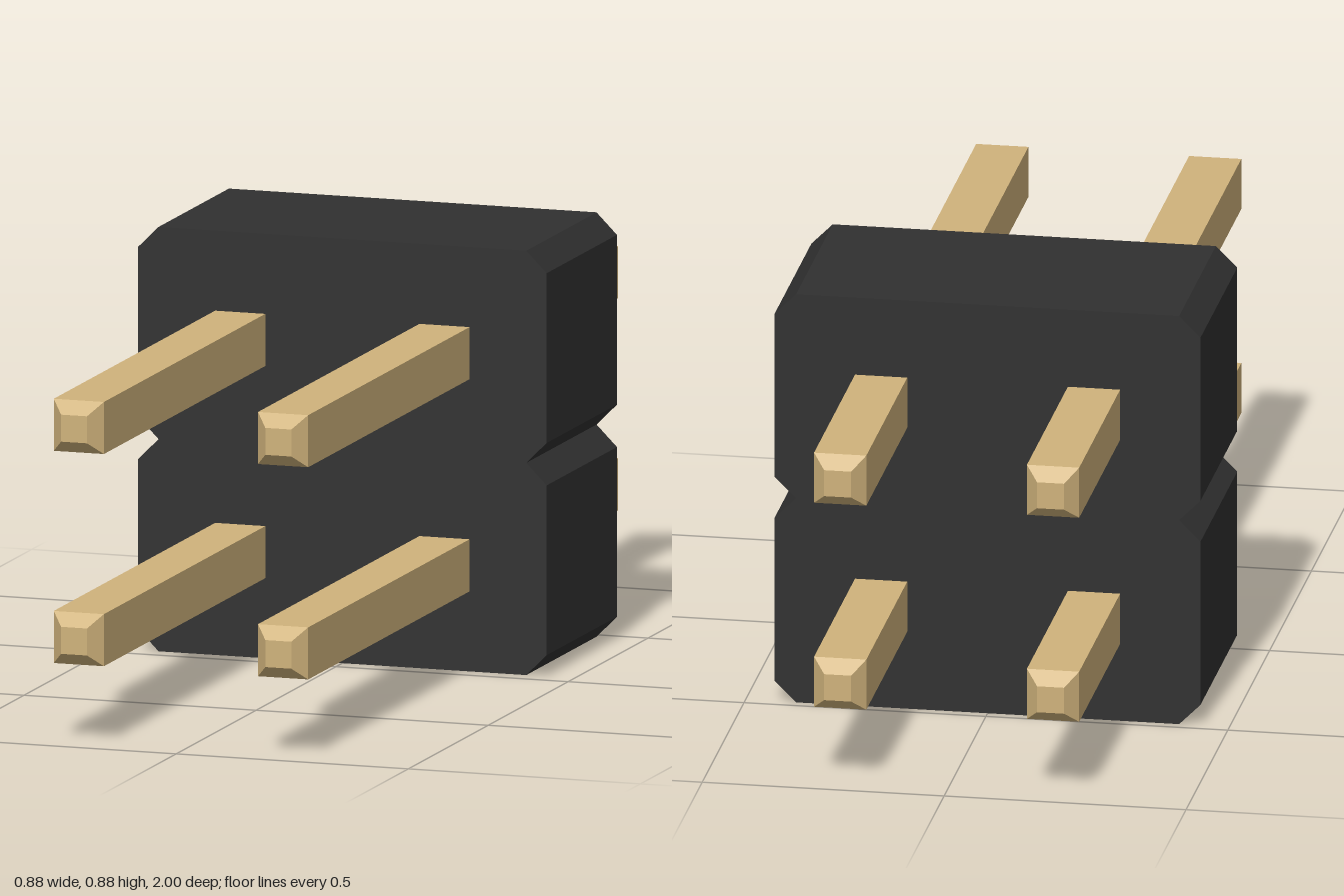
import * as THREE from 'three';

export function createModel() {
  const group = new THREE.Group();
  const plastic = new THREE.MeshStandardMaterial({ color: 0x303030 });
  plastic.name = 'black plastic';
  const gold = new THREE.MeshStandardMaterial({ color: 0xcfb27b });
  gold.name = 'gold plating';

  // Housing: square block with chamfered corners and a V notch on each side
  const w = 0.44, h = 0.88, c = 0.044;
  const rightEdge = [[w - c, 0], [w, c], [w, h / 2 - c], [w - c, h / 2], [w, h / 2 + c], [w, h - c], [w - c, h]];
  const leftEdge = rightEdge.map(([x, y]) => [-x, y]).reverse();
  const outline = new THREE.Shape([...rightEdge, ...leftEdge].map(([x, y]) => new THREE.Vector2(x, y)));
  const housing = new THREE.Mesh(
    new THREE.ExtrudeGeometry(outline, { depth: 0.44, bevelEnabled: false }), plastic);
  housing.name = 'housing';
  housing.position.z = -0.48;
  group.add(housing);

  // Pins: square bars with bevelled tips at both ends
  const tip = 0.028, bevel = 0.026, taper = 0.03;
  const square = new THREE.Shape([[-tip, -tip], [tip, -tip], [tip, tip], [-tip, tip]]
    .map(([x, y]) => new THREE.Vector2(x, y)));
  const pinGeometry = new THREE.ExtrudeGeometry(square, {
    depth: 2 - 2 * taper, bevelSize: bevel, bevelThickness: taper, bevelSegments: 1,
  });
  pinGeometry.translate(0, 0, taper - 1);
  for (const [row, y] of [['lower', 0.22], ['upper', 0.66]]) {
    for (const [side, x] of [['Right', -0.22], ['Left', 0.22]]) {
      const pin = new THREE.Mesh(pinGeometry, gold);
      pin.name = `${row}${side}Pin`;
      pin.position.set(x, y, 0);
      group.add(pin);
    }
  }
  return group;
}
